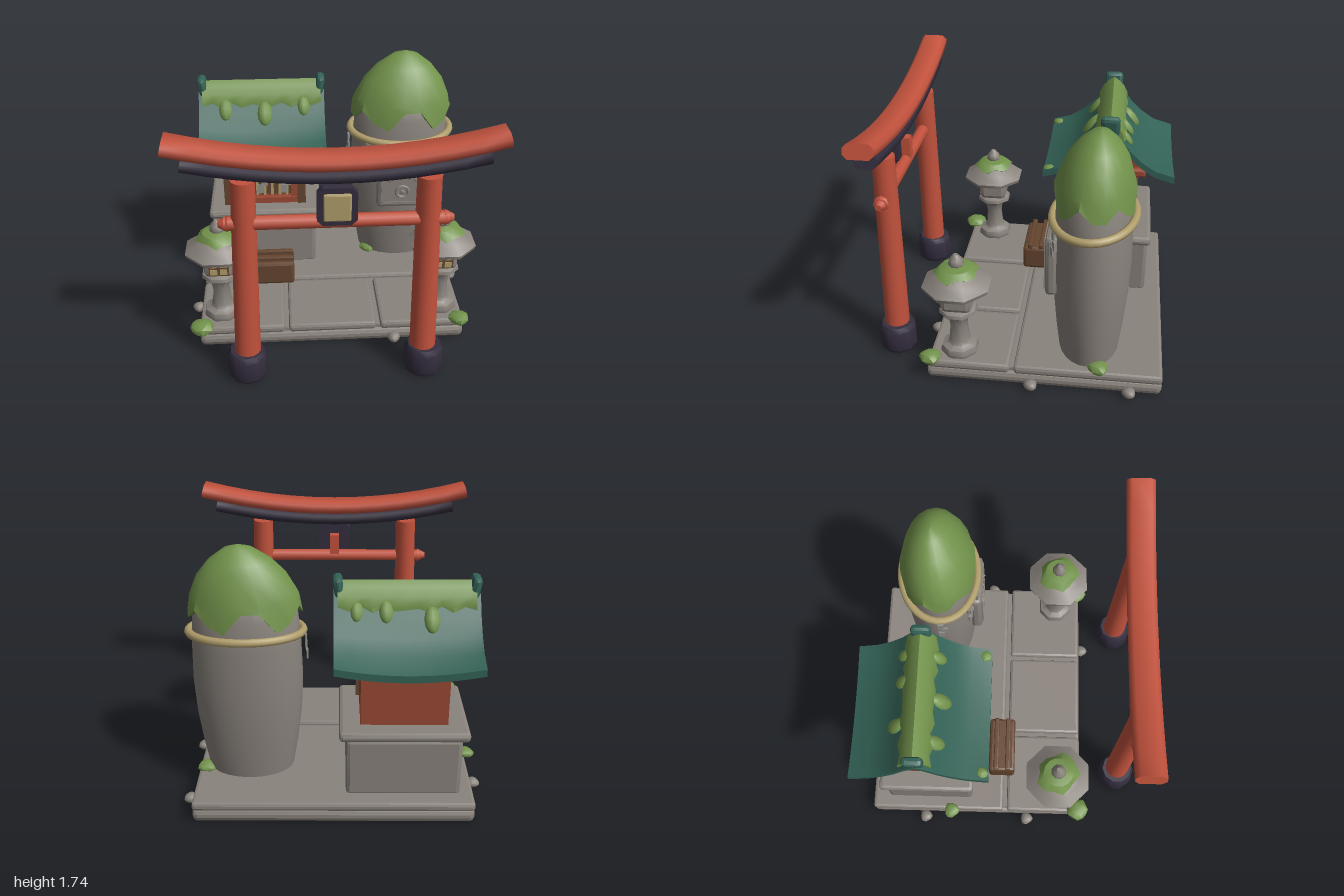
import * as THREE from 'three';
import { toCreasedNormals } from 'three/addons/utils/BufferGeometryUtils.js';
import { RoundedBoxGeometry } from 'three/addons/geometries/RoundedBoxGeometry.js';

const mat = (name, color) => Object.assign(new THREE.MeshStandardMaterial({ color }), { name });
const M = {
  stone: mat('stone', 0x8a837d), red: mat('gateRed', 0xc2523d), dark: mat('darkPurple', 0x342d3e),
  teal: mat('tealTile', 0x336256), moss: mat('moss', 0x72924b), straw: mat('straw', 0xb09e6c),
  brown: mat('darkWood', 0x64452f), hut: mat('hutRed', 0x9a4934), paper: mat('paperGrey', 0x93908c),
  under: mat('darkEarth', 0x504b42),
};
const V = (x, y, z) => new THREE.Vector3(x, y, z);
const P = (x, y) => new THREE.Vector2(x, y);

function add(parent, name, geo, m, x = 0, y = 0, z = 0, crease = 0.3) {
  const mesh = new THREE.Mesh(toCreasedNormals(geo, crease), m);
  mesh.name = name;
  mesh.position.set(x, y, z);
  parent.add(mesh);
  return mesh;
}
function group(parent, name, x = 0, y = 0, z = 0) {
  const g = new THREE.Group();
  g.name = name;
  g.position.set(x, y, z);
  parent.add(g);
  return g;
}
// Chamfered box
const bev = (w, h, d, r = 0.02) => new RoundedBoxGeometry(w, h, d, 1, r);
const lathe = (pts, n) => new THREE.LatheGeometry(pts.map(p => P(p[0], p[1])), n);
const tube = (pts, r, closed = false) =>
  new THREE.TubeGeometry(new THREE.CatmullRomCurve3(pts, closed), 40, r, 8, closed);
function warp(geo, f) {
  const p = geo.attributes.position, v = V(0, 0, 0);
  for (let i = 0; i < p.count; i++) {
    f(v.fromBufferAttribute(p, i));
    p.setXYZ(i, v.x, v.y, v.z);
  }
  return geo;
}
// Low lumpy moss clump or pebble
const lump = (r, flat) => warp(new THREE.IcosahedronGeometry(r, 1), v => {
  const k = 1 + 0.12 * Math.sin(v.x * 70 + v.z * 40);
  v.set(v.x * k, v.y * flat, v.z * k);
});
// Hanging zigzag paper strip, turned to face outward
function streamer(parent, x, y, z, s, turn) {
  const g = group(parent, 'paperStreamer', x, y, z);
  g.rotation.y = turn;
  for (let i = 0; i < 3; i++)
    add(g, 'paperFold', new THREE.BoxGeometry(0.04 * s, 0.06 * s, 0.012), M.paper, (i % 2 ? 0.018 : -0.008) * s, -(0.03 + i * 0.052) * s, 0.004 * i);
}

function buildBase(root) {
  const g = group(root, 'base');
  add(g, 'lowerSlab', bev(1.82, 0.085, 1.55, 0.03), M.stone, 0, 0.0525, -0.195);
  add(g, 'underside', new THREE.BoxGeometry(1.78, 0.008, 1.51), M.under, 0, 0.009, -0.195);
  add(g, 'foundation', new THREE.BoxGeometry(1.76, 0.06, 1.49), M.stone, 0, 0.09, -0.195);
  add(g, 'backPaving', bev(1.82, 0.06, 0.97, 0.02), M.stone, 0, 0.12, -0.485);
  for (const [x, w] of [[-0.62, 0.58], [0, 0.6], [0.62, 0.58]])
    add(g, 'frontPaving', bev(w, 0.06, 0.54, 0.02), M.stone, x, 0.12, 0.3);
  for (const [x, z] of [[-0.95, -0.58], [-0.95, 0.18], [0.945, -0.76], [0.945, -0.12], [0.42, 0.6]])
    add(g, 'edgePebble', lump(0.045, 0.75), M.stone, x, 0.045, z, 0.9);
  for (const [x, z, r] of [[-0.92, -0.38, 0.055], [-0.89, 0.56, 0.08], [0.88, 0.56, 0.07], [0.86, -0.55, 0.065], [0.34, -0.37, 0.065]])
    add(g, 'mossClump', lump(r, 0.6), M.moss, x, 0.157, z, 0.5);
}

function buildGate(root) {
  const g = group(root, 'gate', 0, 0, 0.855);
  for (const s of [-1, 1]) {
    const post = add(g, 'gatePost', new THREE.CylinderGeometry(0.074, 0.086, 1.45, 14), M.red, s * 0.56, 0.735, 0, 0.6);
    post.rotation.z = s * 0.02;
    add(g, 'postShoe', lathe([[0.08, 0.01], [0.115, 0.005], [0.13, 0.03], [0.127, 0.17], [0.108, 0.205], [0.07, 0.205]], 10), M.dark, s * 0.58, 0, 0, 0.7);
  }
  // Upswept beams with a chamfered section
  const beam = (name, half, h, d, y, m) => {
    const c = 0.028, a = h / 2, b = d / 2;
    const sec = new THREE.Shape([P(-b + c, -a), P(b - c, -a), P(b, -a + c), P(b, a - c), P(b - c, a), P(-b + c, a), P(-b, a - c), P(-b, -a + c)]);
    const geo = new THREE.ExtrudeGeometry(sec, { depth: 2 * half, steps: 12, bevelEnabled: false });
    geo.translate(0, 0, -half).rotateY(Math.PI / 2);
    add(g, name, warp(geo, v => { const x = v.x; v.x -= v.y * 0.25 * x; v.y += 0.13 * x * x; }), m, 0, y, 0, 0.85);
  };
  beam('topBeam', 0.988, 0.092, 0.186, 1.57, M.red);
  beam('underBeam', 0.89, 0.095, 0.14, 1.482, M.dark);
  const tie = add(g, 'tieBeam', new THREE.CylinderGeometry(0.045, 0.045, 1.34, 8), M.red, 0, 1.17, 0.01, 0.9);
  tie.rotation.z = Math.PI / 2;
  for (const s of [-1, 1]) {
    const tip = add(g, 'tieBeamEnd', new THREE.CylinderGeometry(0.022, 0.052, 0.06, 8), M.red, s * 0.675, 1.17, 0.01, 0.9);
    tip.rotation.z = -s * Math.PI / 2;
  }
  add(g, 'signStrut', new THREE.BoxGeometry(0.07, 0.15, 0.06), M.red, 0, 1.265, 0);
  // Blank hanging board
  const oct = new THREE.Shape([P(-0.085, -0.125), P(0.085, -0.125), P(0.12, -0.09), P(0.12, 0.09), P(0.085, 0.125), P(-0.085, 0.125), P(-0.12, 0.09), P(-0.12, -0.09)]);
  add(g, 'signFrame', new THREE.ExtrudeGeometry(oct, { depth: 0.05, bevelEnabled: false }), M.dark, 0, 1.3, 0.03);
  add(g, 'signPanel', bev(0.165, 0.18, 0.03, 0.01), M.straw, 0, 1.3, 0.082);
}

function buildLantern(root, x) {
  const g = group(root, 'stoneLantern', x, 0, 0.378);
  const body = add(g, 'lanternStem', lathe([[0.12, 0.14], [0.13, 0.17], [0.12, 0.205], [0.08, 0.22], [0.068, 0.25], [0.058, 0.36], [0.07, 0.43], [0.085, 0.445], [0.13, 0.475], [0.125, 0.5], [0.08, 0.52], [0, 0.52]], 8), M.stone, 0, 0, 0, 0.85);
  add(g, 'lightBox', bev(0.2, 0.15, 0.2, 0.03), M.stone, 0, 0.58);
  const roof = add(g, 'lanternRoof', lathe([[0, 0.64], [0.1, 0.645], [0.225, 0.665], [0.232, 0.69], [0.16, 0.74], [0.1, 0.79], [0, 0.81]], 8), M.stone, 0, 0, 0, 0.85);
  const finial = add(g, 'finial', lathe([[0.03, 0.79], [0.052, 0.835], [0.045, 0.865], [0.015, 0.9], [0, 0.9]], 8), M.stone, 0, 0, 0, 0.85);
  for (const m of [body, roof, finial]) m.rotation.y = Math.PI / 8;
  // Ragged moss collar
  const collar = lathe([[0.1, 0.745], [0.14, 0.77], [0.1, 0.812], [0, 0.83]], 14);
  add(g, 'lanternMoss', warp(collar, v => {
    const a = Math.atan2(v.x, v.z);
    if (v.y < 0.79) { const k = 1 + 0.1 * Math.cos(5 * a) + 0.07 * Math.sin(2 * a); v.set(v.x * k, v.y - 0.01 * Math.cos(5 * a), v.z * k); }
  }), M.moss, 0, 0, 0, 0.6);
  // Four-pane window on the front
  add(g, 'windowFrame', new THREE.BoxGeometry(0.135, 0.12, 0.008), M.brown, 0, 0.583, 0.1);
  for (const sx of [-1, 1]) for (const sy of [-1, 1])
    add(g, 'windowPane', new THREE.BoxGeometry(0.048, 0.042, 0.008), M.straw, sx * 0.033, 0.583 + sy * 0.029, 0.104);
}

function buildBoulder(root) {
  const g = group(root, 'sacredBoulder', 0.56, 0, -0.475), F = 0.7;
  add(g, 'boulder', lathe([[0, 0.14], [0.285, 0.14], [0.32, 0.35], [0.348, 0.58], [0.36, 0.82], [0.352, 1.08], [0.335, 1.28], [0.26, 1.46], [0, 1.6]], 24).scale(1, 1, F), M.stone, 0, 0, 0, 0.7);
  const cap = lathe([[0.3, 1.31], [0.366, 1.29], [0.345, 1.4], [0.282, 1.53], [0.195, 1.63], [0.09, 1.705], [0, 1.73]], 20).scale(1, 1, F);
  add(g, 'mossCap', warp(cap, v => {
    const a = Math.atan2(v.x, v.z / F), lean = Math.max(0, v.y - 1.4) * 0.07;
    if (v.y < 1.35) v.y += 0.07 * Math.sin(6 * a + 0.6) + 0.03 * Math.sin(4 * a + 1);
    v.x += lean;
    v.z -= lean;
  }), M.moss, 0, 0, 0, 0.5);
  const ring = [];
  for (let i = 0; i < 16; i++) {
    const a = i / 16 * Math.PI * 2;
    ring.push(V(0.367 * Math.cos(a), 1.15 - 0.025 * Math.sin(a), 0.262 * Math.sin(a)));
  }
  add(g, 'boulderRope', tube(ring, 0.027, true), M.straw, 0, 0, 0, 0.9);
  for (const [x, z, turn] of [[-0.38, 0.03, -1.45], [-0.24, 0.215, -0.45], [-0.13, 0.268, -0.2], [0.2, 0.235, 0.4]])
    streamer(g, x, 1.11, z, 1.05, turn);
  // Carved tablet
  const t = group(g, 'carvedTablet', 0, 0.835, 0.25);
  add(t, 'tabletSlab', bev(0.37, 0.43, 0.08, 0.025), M.stone);
  for (const s of [-1, 1]) {
    add(t, 'tabletRim', new THREE.BoxGeometry(0.018, 0.35, 0.02), M.stone, s * 0.145, 0, 0.038);
    add(t, 'tabletRim', new THREE.BoxGeometry(0.3, 0.018, 0.02), M.stone, 0, s * 0.175, 0.038);
    add(t, 'carvedDiamond', new THREE.OctahedronGeometry(0.026), M.stone, s * 0.09, 0.1, 0.036);
  }
  for (let i = -2; i <= 2; i++)
    add(t, 'carvedDot', new THREE.SphereGeometry(0.014, 8, 6), M.stone, i * 0.048, 0.04 - 0.007 * i * i, 0.038, 0.9);
  add(t, 'carvedRing', new THREE.TorusGeometry(0.045, 0.012, 6, 16), M.stone, 0, -0.085, 0.04, 0.9);
  add(t, 'carvedBoss', new THREE.SphereGeometry(0.018, 8, 6), M.stone, 0, -0.085, 0.036, 0.9);
}

// Concave roof line, from ridge to eave
const SLOPE = [[0, 1.455], [0.06, 1.4], [0.14, 1.285], [0.22, 1.2], [0.32, 1.125], [0.45, 1.075]];
const roofY = d => {
  const i = Math.max(1, SLOPE.findIndex(p => p[0] >= d)), [a, b] = [SLOPE[i - 1], SLOPE[i]];
  return a[1] + (b[1] - a[1]) * (d - a[0]) / (b[0] - a[0]);
};
function roofSheet(pts, up, down, width) {
  const both = [...pts.slice(1).reverse().map(p => [-p[0], p[1]]), ...pts];
  const shape = new THREE.Shape([...both.map(p => P(p[0], p[1] - down)), ...both.reverse().map(p => P(p[0], p[1] + up))]);
  const geo = new THREE.ExtrudeGeometry(shape, { depth: width, steps: 12, bevelEnabled: false });
  geo.translate(0, 0, -width / 2).rotateY(Math.PI / 2);
  return warp(geo, v => { v.y += 0.045 * (v.x / 0.45) ** 2 * Math.min(1, Math.abs(v.z) / 0.45); });
}

function buildHut(root) {
  const g = group(root, 'shrineHut', -0.45, 0, -0.54);
  add(g, 'podium', bev(0.74, 0.42, 0.62, 0.025), M.stone, 0, 0.34);
  add(g, 'podiumCap', bev(0.83, 0.065, 0.66, 0.025), M.stone, 0, 0.575);
  add(g, 'hutWalls', new THREE.BoxGeometry(0.56, 0.5, 0.42), M.hut, 0, 0.85);
  add(g, 'wallPlate', bev(0.66, 0.06, 0.52, 0.015), M.hut, 0, 1.085);
  const gable = new THREE.Shape([P(-0.23, 1.1), P(0.23, 1.1), P(0.2, 1.17), P(0.11, 1.29), P(0, 1.42), P(-0.11, 1.29), P(-0.2, 1.17)]);
  add(g, 'gable', new THREE.ExtrudeGeometry(gable, { depth: 0.58, bevelEnabled: false }).translate(0, 0, -0.29).rotateY(Math.PI / 2), M.hut);
  // Latticed doorway
  add(g, 'doorway', new THREE.BoxGeometry(0.4, 0.3, 0.008), M.brown, 0, 0.84, 0.213);
  for (const s of [-1, 1]) {
    add(g, 'cornerPost', new THREE.BoxGeometry(0.06, 0.44, 0.06), M.brown, s * 0.272, 0.83, 0.2);
    add(g, 'doorFrame', new THREE.BoxGeometry(0.04, 0.38, 0.03), M.hut, s * 0.215, 0.84, 0.222);
    add(g, 'doorRail', new THREE.BoxGeometry(0.47, 0.045, 0.05), M.hut, 0, 0.84 + s * 0.19, 0.222);
  }
  for (let i = -3; i <= 3; i++)
    add(g, 'latticeBar', new THREE.BoxGeometry(0.02, 0.3, 0.018), M.straw, i * 0.055, 0.84, 0.226);
  add(g, 'hutRope', tube([V(-0.35, 1.01, 0.25), V(-0.2, 0.95, 0.285), V(0, 0.925, 0.295), V(0.2, 0.95, 0.285), V(0.35, 1.01, 0.25)], 0.025), M.straw, 0, 0, 0, 0.9);
  for (const x of [-0.2, -0.02, 0.15]) streamer(g, x, 0.93, 0.285, 1.15, 0);
  // Roof with moss over the ridge
  add(g, 'roof', roofSheet(SLOPE, 0.012, 0.035, 0.9), M.teal, 0, 0, 0, 0.5);
  const wavy = warp(roofSheet([[0, 1.505], [0.045, 1.472], [0.08, 1.415], [0.1, 1.37]], 0.012, 0.04, 0.85), v => {
    if (Math.abs(v.z) > 0.09) { const w = 0.012 * Math.sin(v.x * 38); v.z += Math.sign(v.z) * w; v.y -= 1.4 * w; }
  });
  add(g, 'ridgeMoss', wavy, M.moss, 0, 0, 0, 0.6);
  for (const s of [-1, 1]) {
    const cap = add(g, 'ridgeEnd', bev(0.06, 0.14, 0.13, 0.025), M.teal, s * 0.42, 1.475);
    cap.rotation.z = -s * 0.15;
    add(g, 'eaveMoss', lump(0.042, 0.7), M.moss, s * 0.4, 1.125, 0.405);
  }
  for (const [x, d, r] of [[-0.26, 0.12, 0.052], [0.02, 0.14, 0.058], [0.3, 0.11, 0.048], [-0.15, -0.14, 0.055], [0.13, -0.11, 0.048], [0.31, -0.11, 0.043]]) {
    const drip = add(g, 'mossDrip', new THREE.SphereGeometry(r, 8, 6).scale(0.9, 1.6, 0.6), M.moss, x, roofY(Math.abs(d)) + 0.025, d, 0.8);
    drip.rotation.x = -Math.sign(d) * 0.65;
  }
}

function buildOfferingBox(root) {
  const g = group(root, 'offeringBox', -0.45, 0, -0.015);
  add(g, 'boxBody', bev(0.4, 0.18, 0.19, 0.02), M.brown, 0, 0.24);
  for (const s of [-1, 1])
    add(g, 'boxSlat', bev(0.39, 0.04, 0.035, 0.008), M.brown, 0, 0.342, s * 0.042);
}

export function createModel() {
  const root = new THREE.Group();
  root.name = 'shrine';
  buildBase(root);
  buildGate(root);
  for (const x of [-0.76, 0.755]) buildLantern(root, x);
  buildBoulder(root);
  buildHut(root);
  buildOfferingBox(root);
  return root;
}
